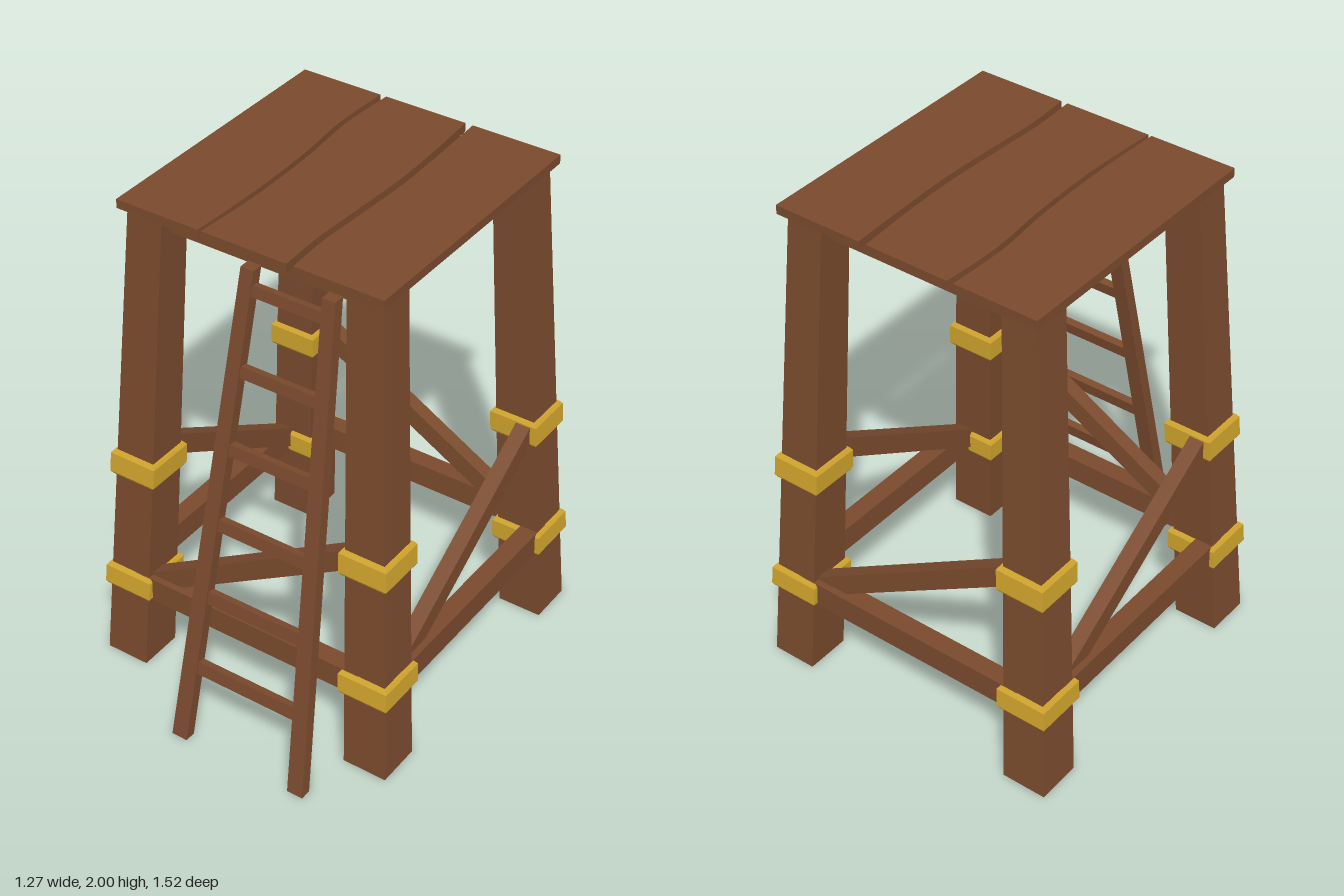
import * as THREE from 'three';

const wood = new THREE.MeshStandardMaterial({ color: 0x7a4a2d });
wood.name = 'brown wood';
const brass = new THREE.MeshStandardMaterial({ color: 0xd0a42c });
brass.name = 'golden band';

function add(parent, name, geometry, material = wood) {
  const mesh = new THREE.Mesh(geometry, material);
  mesh.name = name;
  parent.add(mesh);
  return mesh;
}

// Solid skinned over rectangular rings, listed from bottom to top
function loft(rings) {
  const pos = [], idx = [];
  for (const { y, x0, x1, z0, z1 } of rings) {
    pos.push(x0, y, z1, x1, y, z1, x1, y, z0, x0, y, z0);
  }
  for (let r = 0; r < rings.length - 1; r++) {
    for (let i = 0; i < 4; i++) {
      const a = r * 4 + i, b = r * 4 + (i + 1) % 4;
      idx.push(a, b, b + 4, a, b + 4, a + 4);
    }
  }
  const t = (rings.length - 1) * 4;
  idx.push(0, 2, 1, 0, 3, 2, t, t + 1, t + 2, t, t + 2, t + 3);
  let g = new THREE.BufferGeometry();
  g.setAttribute('position', new THREE.Float32BufferAttribute(pos, 3));
  g.setIndex(idx);
  g = g.toNonIndexed();
  g.computeVertexNormals();
  return g;
}

// Square section of the leaning, tapered corner leg at height y
function legRing(y, pad = 0) {
  const lo = 0.457 - 0.042 * y - pad, hi = 0.637 - 0.06 * y + pad;
  return { y, x0: lo, x1: hi, z0: lo, z1: hi };
}

// One side of the tower with the leg at its right-hand corner
function createSide() {
  const side = new THREE.Group();
  side.name = 'towerSide';
  add(side, 'leg', loft([legRing(0), legRing(1.966)]));
  for (const [y0, y1] of [[0.318, 0.418], [0.838, 0.943]]) {
    add(side, 'legBand', loft([
      legRing(y0, 0.009), legRing(y0 + 0.012, 0.017),
      legRing(y1 - 0.012, 0.017), legRing(y1, 0.009),
    ]), brass);
  }
  add(side, 'lowerBeam', new THREE.BoxGeometry(1.0, 0.1, 0.074)).position.set(0, 0.37, 0.577);
  add(side, 'topBeam', new THREE.BoxGeometry(0.8, 0.085, 0.05)).position.set(0, 1.923, 0.44);
  // Diagonal brace rising from the left leg to the right leg
  const a = new THREE.Vector3(-0.49, 0.355, 0.56), b = new THREE.Vector3(0.46, 0.915, 0.542);
  const brace = add(side, 'brace', new THREE.BoxGeometry(0.06, 0.077, a.distanceTo(b)));
  brace.position.copy(a).add(b).multiplyScalar(0.5);
  brace.lookAt(b);
  return side;
}

// Plank outline: left and right edges run through [x, z] points, back to front
function createPlank(left, right) {
  const smooth = (pts) => pts.length < 3
    ? pts.map((p) => new THREE.Vector2(...p))
    : new THREE.SplineCurve(pts.map((p) => new THREE.Vector2(...p))).getPoints(20);
  // Shape y is -z so that the extrusion points up
  const outline = [...smooth(left), ...smooth(right).reverse()]
    .map((p) => new THREE.Vector2(p.x, -p.y));
  const g = new THREE.ExtrudeGeometry(new THREE.Shape(outline), { depth: 0.035, bevelEnabled: false });
  g.rotateX(-Math.PI / 2);
  g.translate(0, 1.965, 0);
  return g;
}

function createLadder() {
  const ladder = new THREE.Group();
  ladder.name = 'ladder';
  const top = 1.905, cx = 0.15;
  const centreZ = (y) => 0.738 - 0.184 * y;
  const halfSpan = (y) => 0.26 - 0.051 * y;
  for (const s of [-1, 1]) {
    const ring = (y, w) => {
      const x = cx + s * halfSpan(y), z = centreZ(y);
      return { y, x0: x - w / 2, x1: x + w / 2, z0: z - 0.022, z1: z + 0.022 };
    };
    add(ladder, 'ladderRail', loft([ring(0, 0.066), ring(top, 0.053)]));
  }
  for (let i = 0; i < 6; i++) {
    const y = 0.317 + i * 0.302;
    const rung = add(ladder, 'rung',
      new THREE.BoxGeometry(2 * halfSpan(y), 0.053 - 0.002 * i, 0.03));
    rung.position.set(cx, y, centreZ(y));
    rung.rotation.x = -0.182;
  }
  return ladder;
}

export function createModel() {
  const model = new THREE.Group();
  model.name = 'watchtower';

  // Four identical sides turned around the tower axis
  const frame = new THREE.Group();
  frame.name = 'frame';
  frame.position.z = -0.122;
  for (let k = 0; k < 4; k++) {
    const side = createSide();
    side.rotation.y = k * Math.PI / 2;
    frame.add(side);
  }
  model.add(frame);

  // Three planks with wavy gaps between them
  const back = -0.675, front = 0.43;
  const edges = [
    [[-0.54, back], [-0.54, front]],
    [[-0.208, back], [-0.215, -0.43], [-0.195, -0.2], [-0.187, 0.05], [-0.19, 0.25], [-0.198, front]],
    [[-0.183, back], [-0.194, -0.43], [-0.175, -0.2], [-0.167, 0.05], [-0.172, 0.25], [-0.185, front]],
    [[0.153, back], [0.169, -0.43], [0.174, -0.2], [0.163, 0.05], [0.155, 0.25], [0.162, front]],
    [[0.183, back], [0.194, -0.43], [0.2, -0.2], [0.19, 0.05], [0.18, 0.25], [0.188, front]],
    [[0.54, back], [0.54, front]],
  ];
  const platform = new THREE.Group();
  platform.name = 'platform';
  for (let i = 0; i < 6; i += 2) add(platform, 'plank', createPlank(edges[i], edges[i + 1]));
  model.add(platform);

  model.add(createLadder());
  return model;
}
